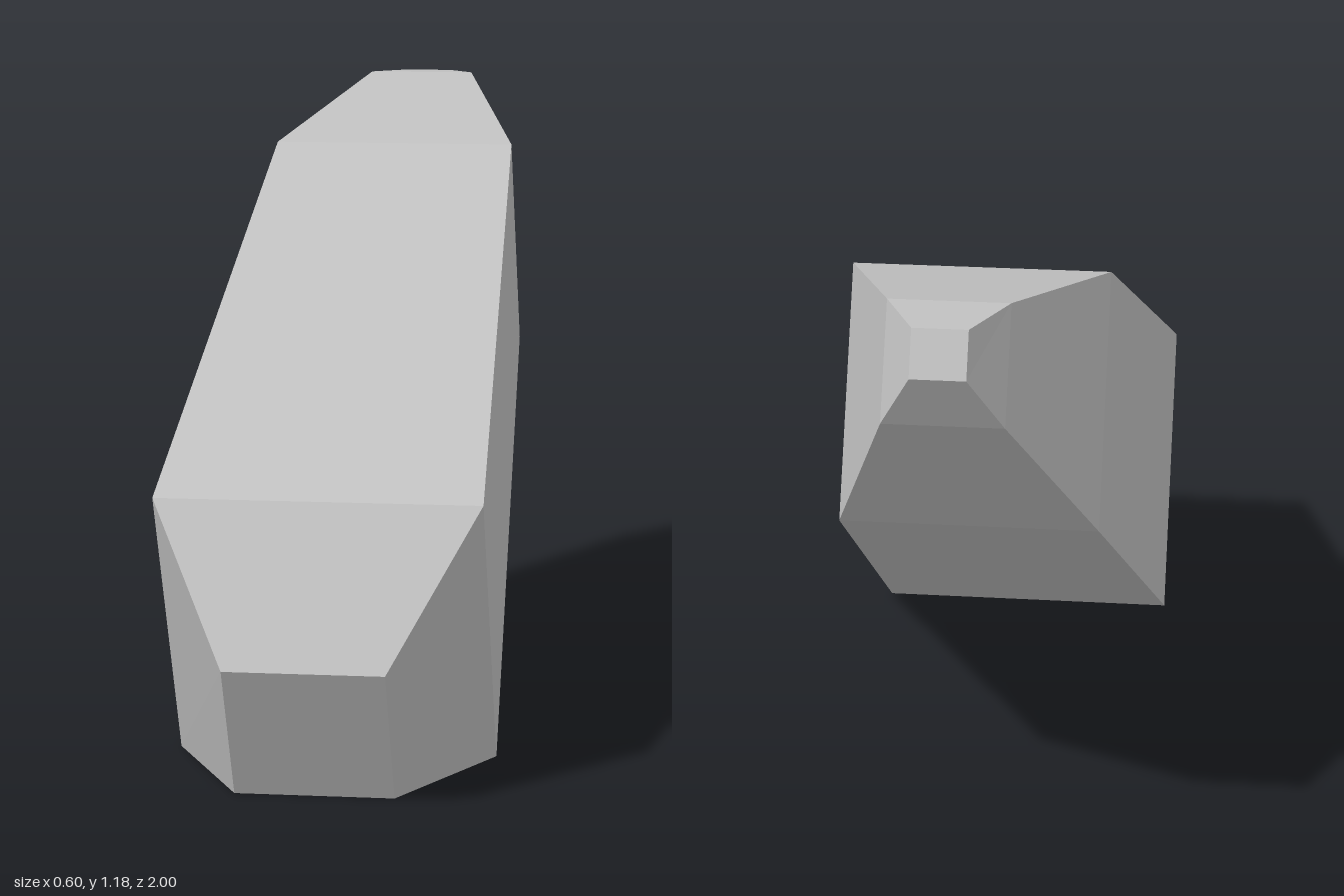
import * as THREE from 'three';

// Cross-sections from the low front end to the raised tip:
// half width, top y, top z, bottom y, bottom z
const SECTIONS = [
  [0.147, 0.26, 1.0, 0, 0.86],
  [0.302, 0.535, 0.815, 0, 0.54],
  [0.245, 1.075, -0.33, 0.64, -0.555],
  [0.11, 1.185, -0.83, 0.99, -0.935],
  [0.05, 1.18, -0.96, 1.1, -1.0],
];

// Faceted solid through four-cornered rings, closed at both ends
function loftGeometry(sections) {
  const rings = sections.map(([w, ty, tz, by, bz]) => [
    [-w, by, bz], [w, by, bz], [w, ty, tz], [-w, ty, tz],
  ]);
  const positions = [];
  const quad = (a, b, c, d) => positions.push(...a, ...b, ...c, ...a, ...c, ...d);

  quad(...rings[0]);
  for (let i = 0; i < rings.length - 1; i++) {
    for (let j = 0; j < 4; j++) {
      const k = (j + 1) % 4;
      quad(rings[i][j], rings[i + 1][j], rings[i + 1][k], rings[i][k]);
    }
  }
  quad(...[...rings[rings.length - 1]].reverse());

  const geometry = new THREE.BufferGeometry();
  geometry.setAttribute('position', new THREE.Float32BufferAttribute(positions, 3));
  geometry.computeVertexNormals();
  return geometry;
}

export function createModel() {
  const grey = new THREE.MeshStandardMaterial({ color: 0xc0c0c0, flatShading: true });
  grey.name = 'light grey';

  const group = new THREE.Group();
  group.name = 'taperedBlock';

  // Tilted, tapering body
  const body = new THREE.Mesh(loftGeometry(SECTIONS), grey);
  body.name = 'body';
  group.add(body);
  return group;
}
